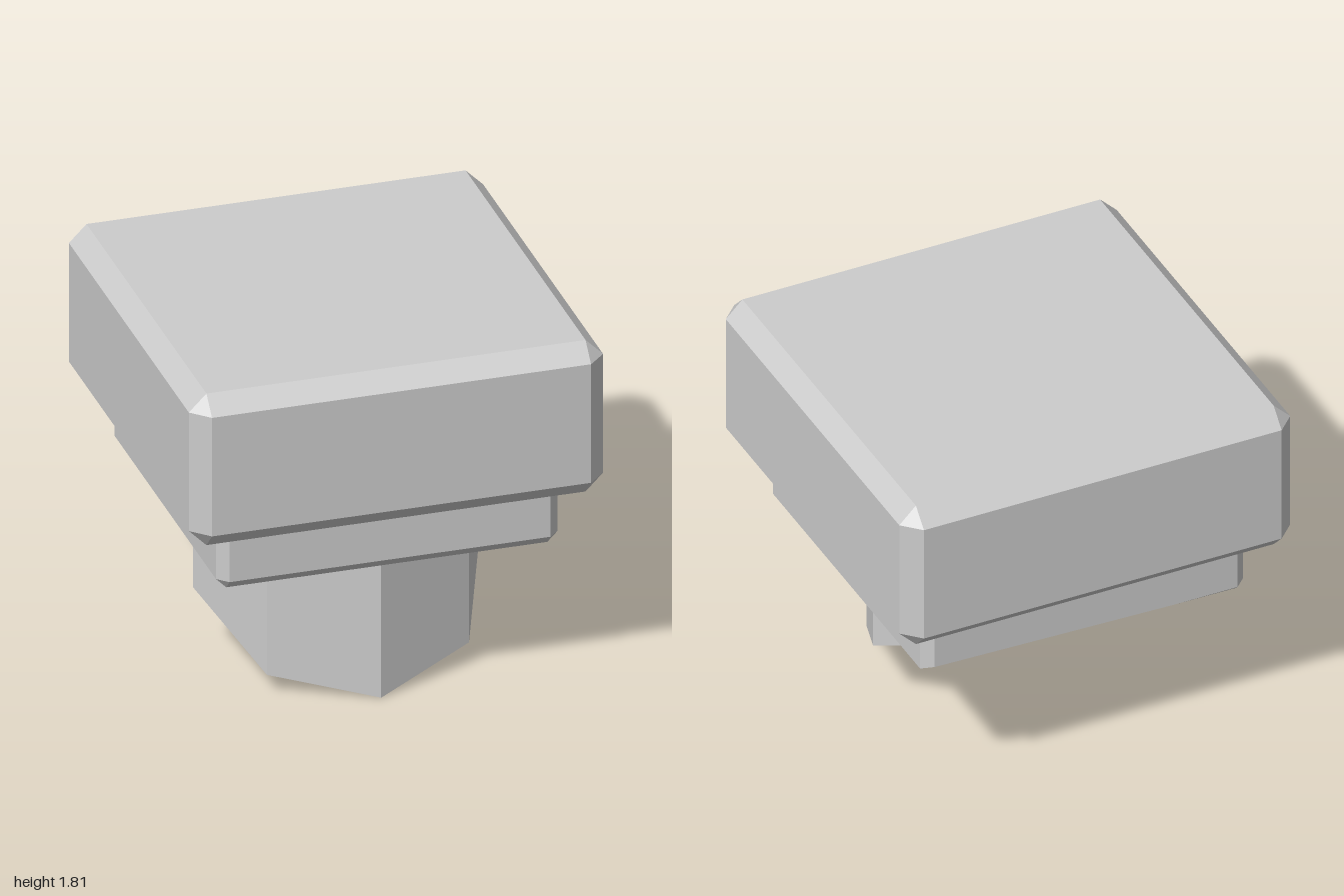
import * as THREE from 'three';
import { ConvexGeometry } from 'three/addons/geometries/ConvexGeometry.js';

// Slanted cutting plane that trims the underside
const cutHeight = (x, z) => 0.362 - 0.518 * z + 0.021 * x;

// 24 corners of a box with every edge chamfered by c
function chamferedCorners(half, bottom, top, c) {
  const size = new THREE.Vector3(half, (top - bottom) / 2, half);
  const middle = (top + bottom) / 2;
  const points = [];
  for (const sx of [-1, 1]) for (const sy of [-1, 1]) for (const sz of [-1, 1]) {
    for (const axis of ['x', 'y', 'z']) {
      const p = size.clone().subScalar(c);
      p[axis] = size[axis];
      points.push(new THREE.Vector3(p.x * sx, middle + p.y * sy, p.z * sz));
    }
  }
  return points;
}

// Keep what lies above the cutting plane
function trimmed(points) {
  const above = (p) => p.y - cutHeight(p.x, p.z);
  const kept = points.filter((p) => above(p) >= 0);
  const removed = points.filter((p) => above(p) < 0);
  const section = [];
  for (const a of kept) for (const b of removed) {
    section.push(a.clone().lerp(b, above(a) / (above(a) - above(b))));
  }
  return [...kept, ...section];
}

export function createModel() {
  const group = new THREE.Group();
  const grey = new THREE.MeshStandardMaterial({ color: 0xcccccc });
  grey.name = 'light grey';
  grey.flatShading = true;

  const add = (name, geometry) => {
    const mesh = new THREE.Mesh(geometry, grey);
    mesh.name = name;
    group.add(mesh);
  };

  // Wide cap and the narrower collar below it
  add('cap', new ConvexGeometry(chamferedCorners(1, 1.035, 1.815, 0.085)));
  add('collar', new ConvexGeometry(trimmed(chamferedCorners(0.825, 0.73, 1.05, 0.05))));

  // Octagonal shank, its lower end sliced along the cutting plane
  const shank = new THREE.CylinderGeometry(0.69, 0.69, 0.8, 8);
  const pos = shank.attributes.position;
  for (let i = 0; i < pos.count; i++) {
    const y = pos.getY(i) > 0 ? 0.8 : cutHeight(pos.getX(i), pos.getZ(i));
    pos.setY(i, y);
  }
  shank.computeVertexNormals();
  add('shank', shank);

  return group;
}
